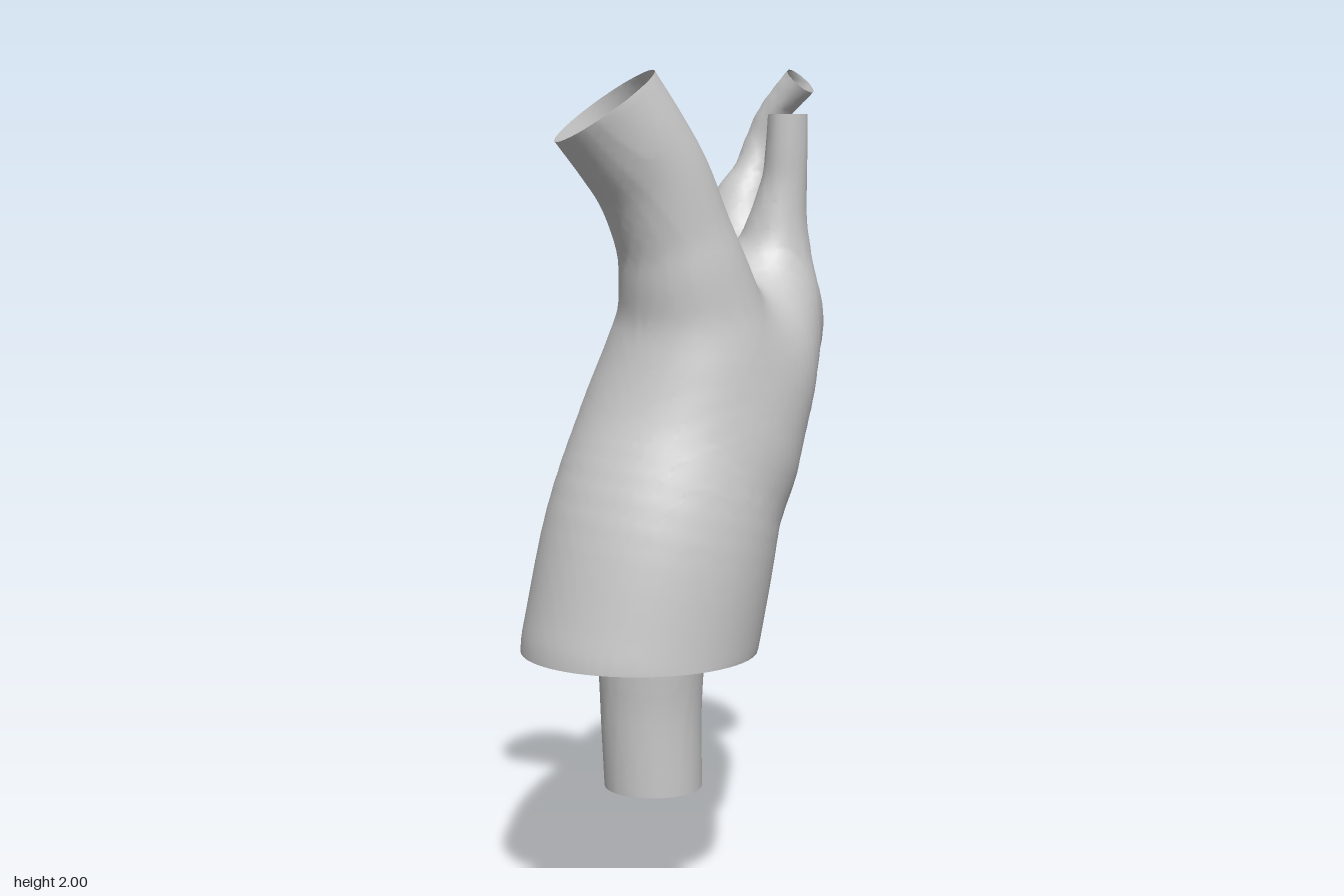
import * as THREE from 'three';

const CELL = 0.02; // sampling grid size
const BLEND = 0.07; // softness where vessels join
const ORIGIN = [-0.54, -0.06, -0.78];
const COUNT = [55, 107, 79];

// Vessels: stations are [x, y, z, radius]; start / end are outward directions of open cuts.
const VESSELS = {
  // Wide trunk narrowing into the large outward-leaning branch
  trunk: {
    start: [0, -1, 0],
    end: [-0.59, 0.81, 0],
    stations: [
      [-0.21, 0.64, 0.44, 0.275], [-0.155, 0.90, 0.43, 0.272], [-0.095, 1.12, 0.41, 0.25],
      [-0.075, 1.28, 0.425, 0.213], [-0.085, 1.40, 0.45, 0.173], [-0.112, 1.51, 0.475, 0.148],
      [-0.14, 1.60, 0.488, 0.133], [-0.19, 1.72, 0.50, 0.13], [-0.25, 1.81, 0.512, 0.132],
      [-0.31, 1.89, 0.52, 0.135],
    ],
  },
  // Arch with its narrowing, then the descending limb
  arch: {
    end: [0, -1, 0],
    stations: [
      [-0.02, 1.12, 0.39, 0.21], [0.05, 1.26, 0.345, 0.20], [0.11, 1.36, 0.28, 0.17],
      [0.155, 1.43, 0.20, 0.125], [0.18, 1.467, 0.13, 0.08], [0.19, 1.48, 0.07, 0.115],
      [0.215, 1.45, 0, 0.165], [0.255, 1.36, -0.10, 0.19], [0.285, 1.24, -0.24, 0.185],
      [0.30, 1.16, -0.37, 0.17], [0.295, 1.085, -0.47, 0.148], [0.295, 0.98, -0.505, 0.157],
      [0.295, 0.88, -0.51, 0.175], [0.25, 0.75, -0.525, 0.172], [0.165, 0.59, -0.555, 0.165],
      [0.125, 0.44, -0.54, 0.155], [0.122, 0.24, -0.55, 0.145], [0.13, 0, -0.555, 0.14],
    ],
  },
  // Slim upright branch
  middleBranch: {
    end: [0, 1, 0],
    stations: [
      [0.14, 1.36, 0.26, 0.13], [0.165, 1.45, 0.265, 0.118], [0.18, 1.54, 0.27, 0.093],
      [0.187, 1.62, 0.28, 0.072], [0.198, 1.72, 0.295, 0.055], [0.20, 1.80, 0.305, 0.05],
      [0.20, 1.88, 0.312, 0.047],
    ],
  },
  // Thin curved branch beyond the narrowing
  curvedBranch: {
    end: [0.48, 0.73, 0.49],
    stations: [
      [0.19, 1.46, 0.01, 0.12], [0.18, 1.56, 0.012, 0.117], [0.19, 1.66, 0.028, 0.08],
      [0.213, 1.74, 0.03, 0.05], [0.235, 1.82, 0.03, 0.04], [0.26, 1.89, 0.053, 0.038],
      [0.31, 1.967, 0.105, 0.042],
    ],
  },
};

// Smooth a vessel into short tapered segments, running on past its open ends
function segmentsOf({ stations, start, end }) {
  const spline = (pts) => new THREE.CatmullRomCurve3(pts, false, 'catmullrom', 0.5);
  const path = spline(stations.map(([x, y, z]) => new THREE.Vector3(x, y, z)));
  const radii = spline(stations.map((s) => new THREE.Vector3(s[3], 0, 0)));
  const n = (stations.length - 1) * 5;
  const points = [];
  for (let i = 0; i <= n; i++) points.push([...path.getPoint(i / n).toArray(), radii.getPoint(i / n).x]);
  const beyond = (p, d) => [p[0] + d[0] * 0.1, p[1] + d[1] * 0.1, p[2] + d[2] * 0.1, p[3]];
  if (start) points.unshift(beyond(points[0], start));
  if (end) points.push(beyond(points[points.length - 1], end));
  return points.slice(1).map((b, i) => {
    const a = points[i];
    const d = b.map((v, k) => v - a[k]);
    return { a, d, len2: d[0] * d[0] + d[1] * d[1] + d[2] * d[2] };
  });
}

// Distance from a point to one vessel's wall
function vesselDistance(segments, x, y, z) {
  let best = Infinity;
  for (const { a, d, len2 } of segments) {
    const px = x - a[0], py = y - a[1], pz = z - a[2];
    const t = Math.min(1, Math.max(0, (px * d[0] + py * d[1] + pz * d[2]) / len2));
    const qx = px - d[0] * t, qy = py - d[1] * t, qz = pz - d[2] * t;
    best = Math.min(best, Math.sqrt(qx * qx + qy * qy + qz * qz) - a[3] - d[3] * t);
  }
  return best;
}

// Wall surface of the smoothly joined field, one vertex per crossed grid cell
function wallSurface(field) {
  const [nx, ny, nz] = COUNT;
  const stride = [1, nx, nx * ny];
  const at = (i, k) => ORIGIN[k] + i * CELL;
  const values = new Float32Array(nx * ny * nz);
  const vertexOf = new Int32Array(values.length).fill(-1);
  const positions = [], index = [];
  const eachNode = (margin, visit) => {
    for (let k = 0; k < nz - margin; k++)
      for (let j = 0; j < ny - margin; j++)
        for (let i = 0; i < nx - margin; i++) visit([i, j, k], i + j * nx + k * nx * ny);
  };
  eachNode(0, (c, n) => { values[n] = field(at(c[0], 0), at(c[1], 1), at(c[2], 2)); });

  eachNode(1, (c, n) => {
    const sum = [0, 0, 0];
    let hits = 0;
    for (let corner = 0; corner < 8; corner++) {
      const bits = [corner & 1, (corner >> 1) & 1, corner >> 2];
      const f0 = values[n + bits[0] + bits[1] * nx + bits[2] * stride[2]];
      for (let axis = 0; axis < 3; axis++) {
        if (bits[axis]) continue;
        const f1 = values[n + bits[0] + bits[1] * nx + bits[2] * stride[2] + stride[axis]];
        if (f0 < 0 === f1 < 0) continue;
        hits++;
        for (let m = 0; m < 3; m++) sum[m] += bits[m] + (m === axis ? f0 / (f0 - f1) : 0);
      }
    }
    if (!hits) return;
    const p = sum.map((s, m) => at(c[m] + s / hits, m));
    // settle the vertex onto the wall
    const f = field(...p), e = 0.002;
    const g = p.map((v, m) => (field(...p.map((w, q) => (q === m ? w + e : w))) - f) / e);
    const g2 = Math.max(0.5, g[0] * g[0] + g[1] * g[1] + g[2] * g[2]);
    vertexOf[n] = positions.length;
    positions.push(new THREE.Vector3(...p.map((v, m) => v - (f * g[m]) / g2)));
  });

  eachNode(1, (c, n) => {
    for (let axis = 0; axis < 3; axis++) {
      const b = (axis + 1) % 3, d = (axis + 2) % 3;
      const inside = values[n] < 0;
      if (!c[b] || !c[d] || inside === values[n + stride[axis]] < 0) continue;
      const q = [n - stride[b] - stride[d], n - stride[d], n, n - stride[b]].map((m) => vertexOf[m]);
      if (!inside) q.reverse();
      index.push([q[0], q[1], q[2]], [q[0], q[2], q[3]]);
    }
  });
  return { positions, index };
}

export function createModel() {
  const vessels = Object.values(VESSELS);
  const parts = vessels.map(segmentsOf);
  const field = (x, y, z) => {
    let f = Infinity;
    for (const part of parts) {
      const g = vesselDistance(part, x, y, z);
      const h = Math.max(0, 1 - Math.abs(f - g) / BLEND);
      f = Math.min(f, g) - (h * h * BLEND) / 4;
    }
    return f;
  };
  const { positions, index } = wallSurface(field);

  // Cut the open ends flat: drop triangles past a cut, then slide stragglers onto its plane
  let kept = index;
  for (const { stations, start, end } of vessels) {
    for (const [station, dir] of [[stations[0], start], [stations[stations.length - 1], end]]) {
      if (!dir) continue;
      const centre = new THREE.Vector3(station[0], station[1], station[2]);
      const normal = new THREE.Vector3(...dir).normalize();
      const over = positions.map((p) =>
        p.distanceTo(centre) < station[3] * 2 + 0.1 ? p.clone().sub(centre).dot(normal) : -1);
      kept = kept.filter((tri) => tri.some((v) => over[v] < 0));
      positions.forEach((p, i) => { if (over[i] > 0) p.addScaledVector(normal, -over[i]); });
    }
  }

  const geometry = new THREE.BufferGeometry().setFromPoints(positions);
  geometry.setIndex(kept.flat());
  geometry.computeVertexNormals();
  const material = new THREE.MeshStandardMaterial({ color: 0xcccccc, side: THREE.DoubleSide });
  const wall = new THREE.Mesh(geometry, material);
  wall.name = 'vesselWall';
  const group = new THREE.Group();
  group.name = 'aorta';
  group.add(wall);
  return group;
}
